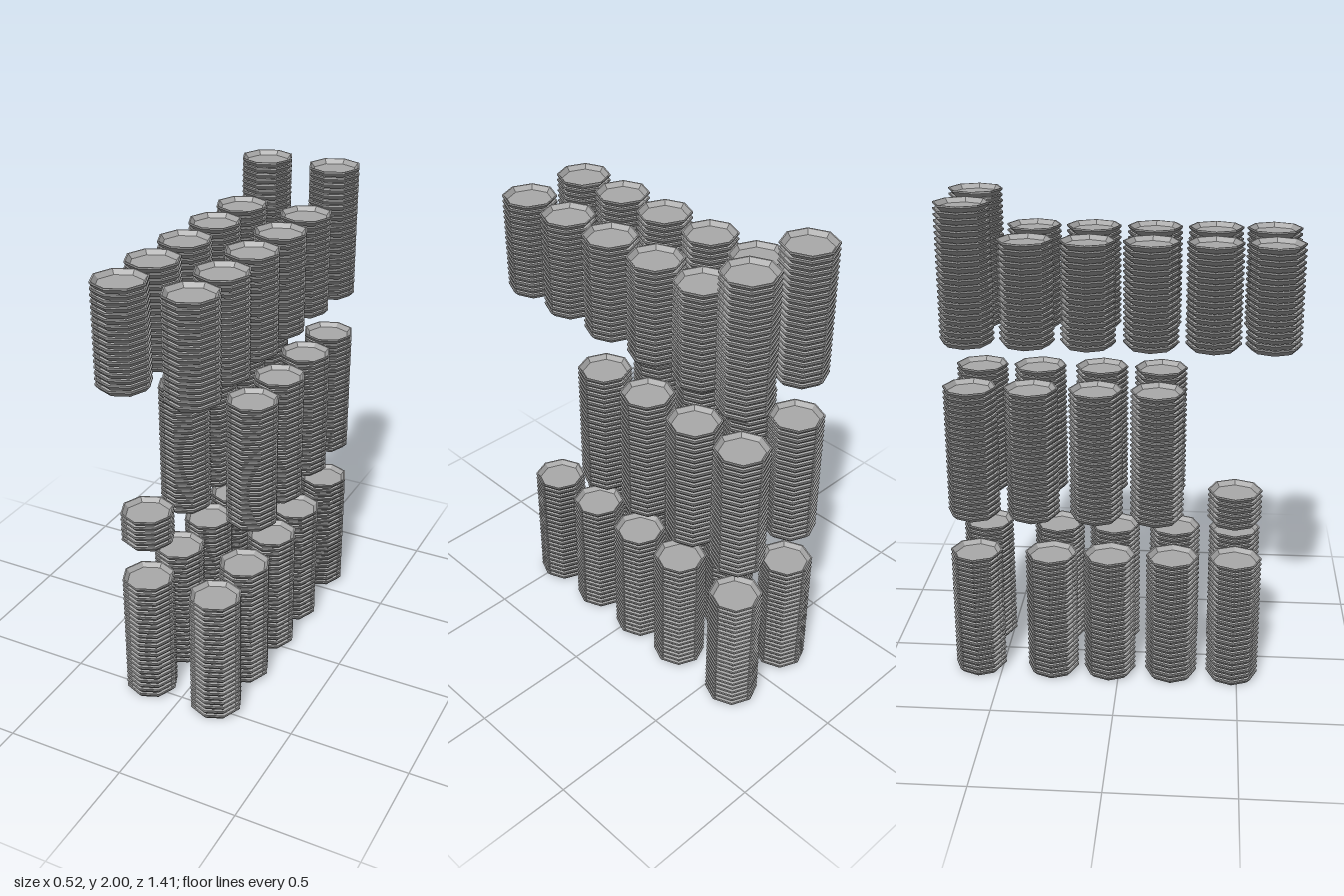
import * as THREE from 'three';
import { mergeGeometries } from 'three/addons/utils/BufferGeometryUtils.js';

const PITCH = 0.0229;
const SIDES = 8;

// One shallow dish: flat base, flared wall, narrow lip, recessed floor
function plateGeometry() {
  const profile = [
    [0, 0], [0.09, 0], [0.109, 0.02], [0.109, 0.026],
    [0.103, 0.026], [0.089, 0.008], [0, 0.008],
  ].map(([r, y]) => new THREE.Vector2(r, y));
  return new THREE.LatheGeometry(profile, SIDES);
}

// Nested pile of dishes
function stackGeometry(count) {
  const plate = plateGeometry();
  const plates = [];
  for (let i = 0; i < count; i++) plates.push(plate.clone().translate(0, i * PITCH, 0));
  return mergeGeometries(plates);
}

export function createModel() {
  const model = new THREE.Group();
  model.name = 'plateStacks';
  const grey = new THREE.MeshStandardMaterial({ color: 0xaaaaaa, flatShading: true });
  grey.name = 'plate grey';

  const tall = stackGeometry(24);
  const medium = stackGeometry(18);
  const small = stackGeometry(6);

  const LEFT = 0.15, RIGHT = -0.152;

  function addRow(name, y, geometry, xs, zs) {
    const row = new THREE.Group();
    row.name = name;
    for (const x of xs) {
      for (const z of zs) {
        const stack = new THREE.Mesh(geometry, grey);
        stack.name = x > 0 ? 'leftPlateStack' : 'rightPlateStack';
        stack.position.set(x, y, z);
        row.add(stack);
      }
    }
    model.add(row);
  }

  // Bottom level
  addRow('bottomStacks', 0, tall, [LEFT, RIGHT], [0.478, 0.221, -0.039, -0.281, -0.594]);

  // Middle level, with one short pile on the right
  addRow('middleStacks', 0.717, tall, [LEFT, RIGHT], [0.154, -0.092, -0.35, -0.594]);
  addRow('middleShortStack', 0.717, small, [RIGHT], [0.469]);

  // Top level: full piles at the back, medium piles in front
  addRow('topBackStacks', 1.447, tall, [LEFT, RIGHT], [-0.594]);
  addRow('topFrontStacks', 1.447, medium, [0.131, RIGHT], [0.597, 0.366, 0.125, -0.119, -0.358]);

  return model;
}
